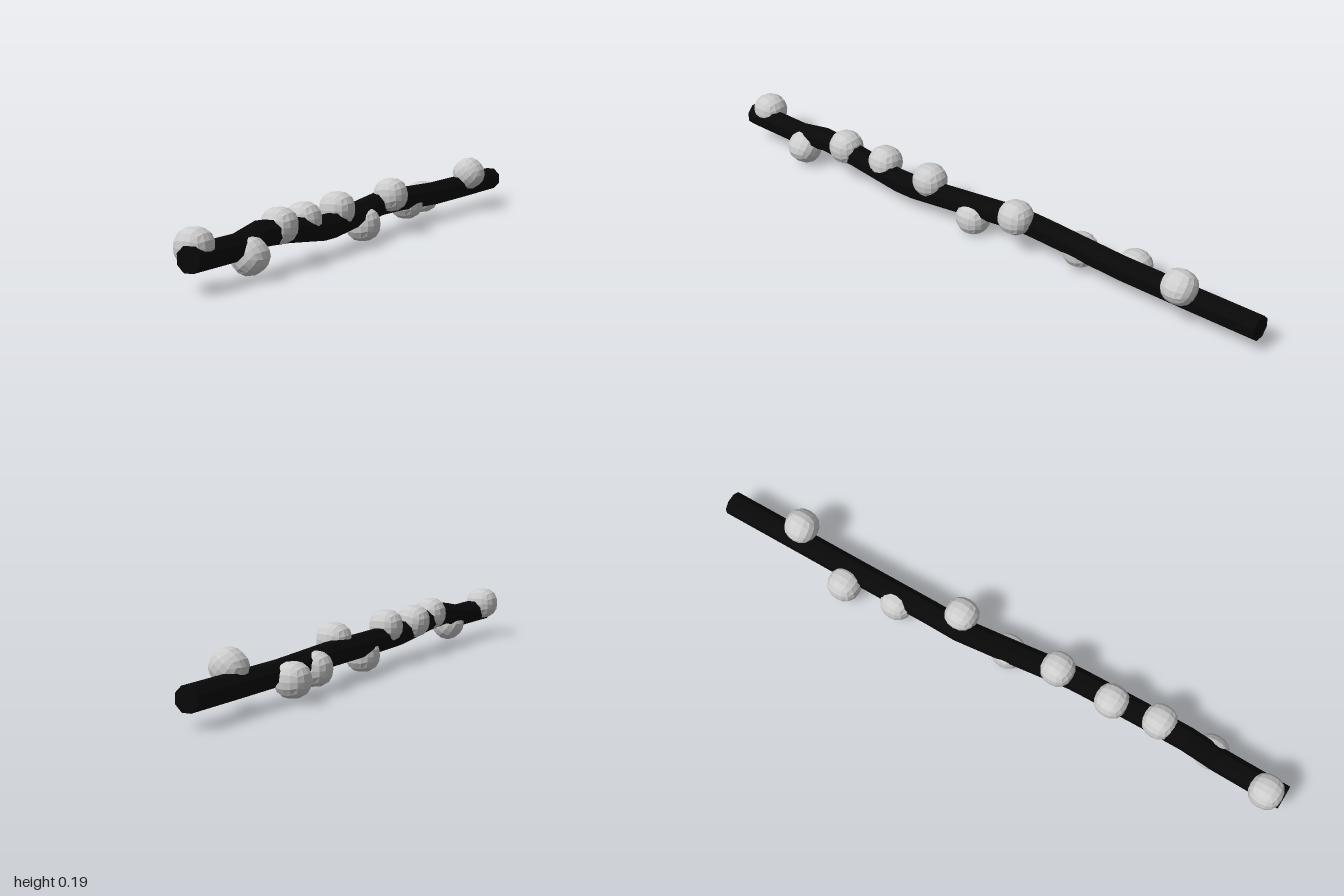
import * as THREE from 'three';

const cableBlack = new THREE.MeshStandardMaterial({ color: 0x080808 });
const bulbGrey = new THREE.MeshStandardMaterial({ color: 0xcccccc });

// Cable centre line, front to back: x, y, z
const PATH = [
  [0.043, 0.096, 1], [0.043, 0.096, 0.77], [0.043, 0.117, 0.66], [0.043, 0.109, 0.53],
  [0.044, 0.087, 0.33], [0.041, 0.086, 0.26], [0.012, 0.092, 0.06], [-0.014, 0.099, -0.13],
  [-0.014, 0.098, -0.24], [-0.016, 0.086, -0.52], [-0.02, 0.085, -0.75], [-0.025, 0.085, -1],
];

// Bulbs: x, y, z, roll about the cable
const BULBS = [
  [0.024, 0.122, 0.945, 0], [0.063, 0.069, 0.74, -0.85], [0.045, 0.127, 0.56, 0],
  [0.027, 0.121, 0.4, 0.15], [0.027, 0.128, 0.205, 0], [0.018, 0.057, 0.03, 0],
  [0.022, 0.129, -0.145, 0.1], [-0.033, 0.073, -0.355, 0], [-0.067, 0.07, -0.535, 0],
  [0.01, 0.132, -0.745, 0.7],
];

function faceted(geometry) {
  const g = geometry.toNonIndexed();
  g.computeVertexNormals();
  return g;
}

// Octagonal rod whose rings are moved onto the centre line
function cableGeometry() {
  const n = PATH.length - 1;
  const g = new THREE.CylinderGeometry(0.039, 0.039, n, 8, n, false, Math.PI / 8);
  g.rotateX(Math.PI / 2);
  const p = g.attributes.position;
  for (let i = 0; i < p.count; i++) {
    const [x, y, z] = PATH[Math.round(n / 2 - p.getZ(i))];
    p.setXYZ(i, p.getX(i) + x, p.getY(i) + y, z);
  }
  return faceted(g);
}

// Cube grid rounded into a slightly boxy ball
function bulbGeometry(radius) {
  const g = new THREE.BoxGeometry(2, 2, 2, 4, 4, 4);
  const p = g.attributes.position;
  const even = (t) => Math.tan((t * Math.PI) / 4);
  for (let i = 0; i < p.count; i++) {
    const v = [p.getX(i), p.getY(i), p.getZ(i)].map(even);
    const norm = v.reduce((s, c) => s + Math.abs(c) ** 2.3, 0) ** (1 / 2.3);
    p.setXYZ(i, ...v.map((c) => (c / norm) * radius));
  }
  return faceted(g);
}

export function createModel() {
  const model = new THREE.Group();
  model.name = 'lightString';

  const cable = new THREE.Mesh(cableGeometry(), cableBlack);
  cable.name = 'cable';
  model.add(cable);

  const ball = bulbGeometry(0.054);
  BULBS.forEach(([x, y, z, roll], i) => {
    const bulb = new THREE.Mesh(ball, bulbGrey);
    bulb.name = `bulb${i + 1}`;
    bulb.position.set(x, y, z);
    bulb.rotation.z = roll;
    model.add(bulb);
  });
  return model;
}
